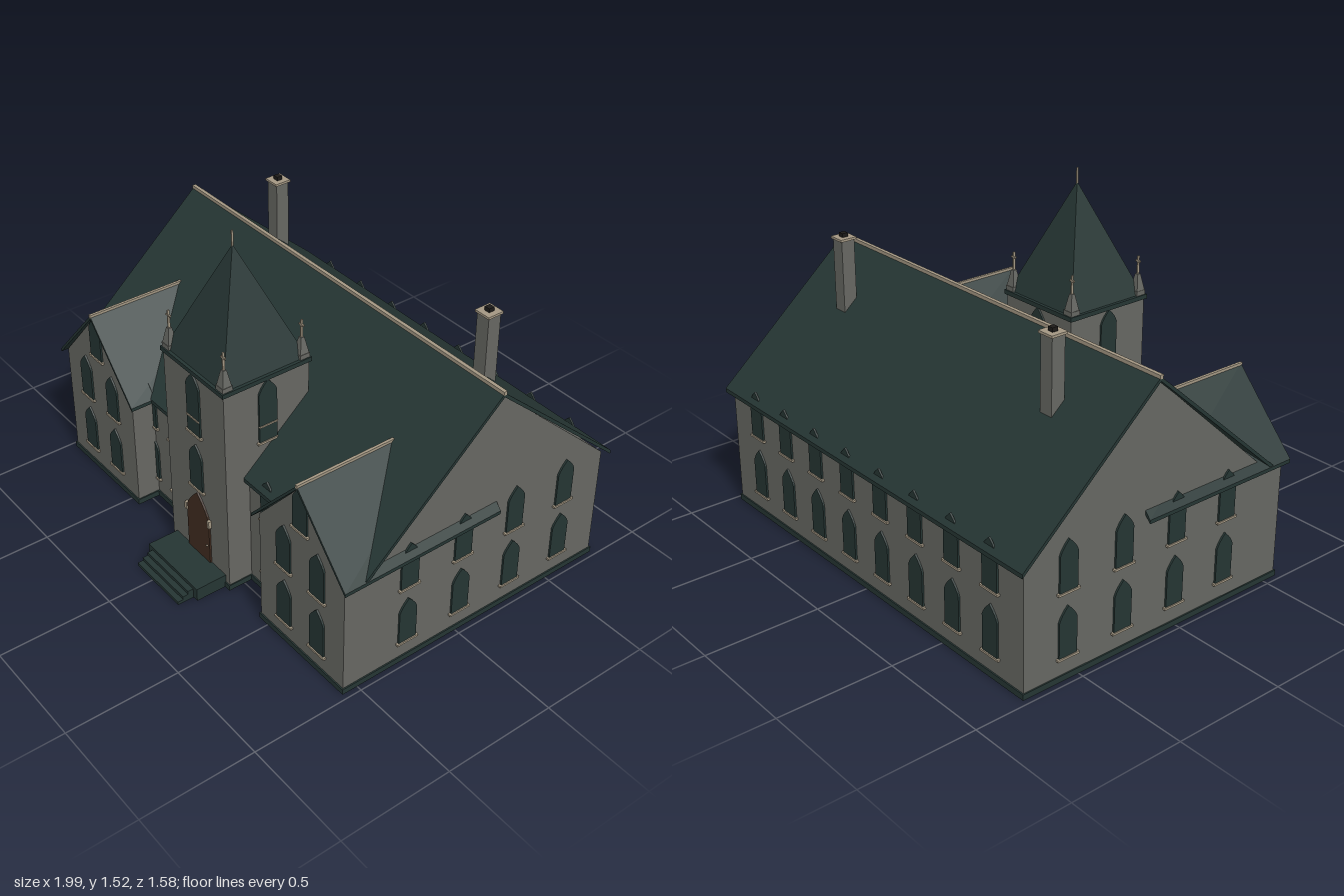
import * as THREE from 'three';

const mat = (name, color) => {
  const m = new THREE.MeshStandardMaterial({ color });
  m.name = name;
  return m;
};

export function createModel() {
  const root = new THREE.Group();
  root.name = 'gothicHall';
  const stone = mat('stone', 0x666762);
  const slate = mat('darkSlate', 0x253533);
  const trim = mat('sandTrim', 0xa39783);
  const wood = mat('doorWood', 0x402c20);
  const black = mat('flueBlack', 0x1c1a18);

  const add = (name, geo, material, x = 0, y = 0, z = 0, parent = root) => {
    const mesh = new THREE.Mesh(geo, material);
    mesh.name = name;
    mesh.position.set(x, y, z);
    parent.add(mesh);
    return mesh;
  };
  // Box given by its extents
  const block = (name, material, x0, x1, y0, y1, z0, z1, parent = root) =>
    add(name, new THREE.BoxGeometry(x1 - x0, y1 - y0, z1 - z0), material,
      (x0 + x1) / 2, (y0 + y1) / 2, (z0 + z1) / 2, parent);
  // Flat-faced square pyramid or frustum, half widths at top and bottom
  const frustum = (top, bottom, h) => {
    const g = new THREE.CylinderGeometry(top * Math.SQRT2, bottom * Math.SQRT2, h, 4)
      .rotateY(Math.PI / 4).toNonIndexed();
    g.computeVertexNormals();
    return g;
  };
  const extrude = (points, depth) => new THREE.ExtrudeGeometry(
    new THREE.Shape(points.map(p => new THREE.Vector2(...p))), { depth, bevelEnabled: false });
  const gableWall = (half, eave, ridge, depth) =>
    extrude([[-half, 0.01], [half, 0.01], [half, eave], [0, ridge], [-half, eave]], depth);
  const gableRoof = (half, eave, ridge, t, depth) => extrude(
    [[-half, eave - t], [0, ridge - t], [half, eave - t], [half, eave], [0, ridge], [-half, eave]], depth);

  // Thin pointed-arch plate standing on its base
  const archPlate = (w, h, peak, depth = 0.008) => {
    const s = new THREE.Shape();
    s.moveTo(-w / 2, 0);
    s.lineTo(w / 2, 0);
    s.lineTo(w / 2, h - peak);
    s.quadraticCurveTo(w * 0.4, h - peak * 0.55, 0, h);
    s.quadraticCurveTo(-w * 0.4, h - peak * 0.55, -w / 2, h - peak);
    return new THREE.ExtrudeGeometry(s, { depth, bevelEnabled: false, curveSegments: 4 });
  };
  const windowAt = (x, y, z, turn = 0, h = 0.215) => {
    const g = new THREE.Group();
    g.name = 'archedWindow';
    g.position.set(x, y, z);
    g.rotation.y = turn;
    add('pane', archPlate(0.086, h, 0.06), slate, 0, 0, 0, g);
    block('sill', trim, -0.052, 0.052, -0.006, 0.003, 0, 0.013, g);
    root.add(g);
    return g;
  };
  const floors = [0.1, 0.375];

  // Main hall, long roof and ridge
  add('hallWalls', gableWall(0.61, 0.53, 1.085, 1.94), stone, -0.97, 0, -0.15).rotation.y = Math.PI / 2;
  add('hallRoof', gableRoof(0.637, 0.54, 1.1, 0.018, 1.99), slate, -0.995, 0, -0.15).rotation.y = Math.PI / 2;
  block('hallRidge', trim, -0.997, 0.997, 1.092, 1.108, -0.158, -0.142);
  block('hallPlinth', slate, -0.976, 0.976, 0, 0.025, -0.766, 0.466);

  // Front wings with cross gables
  for (const s of [-1, 1]) {
    const x = s * 0.71;
    add('wingWalls', gableWall(0.26, 0.54, 0.835, 0.115), stone, x, 0, 0.45);
    add('wingRoof', gableRoof(0.287, 0.535, 0.85, 0.016, 0.765), slate, x, 0, -0.18);
    block('wingRidge', trim, x - 0.006, x + 0.006, 0.84, 0.855, 0.1, 0.587);
    block('wingPlinth', slate, x - 0.266, x + 0.266, 0, 0.025, 0.46, 0.571);
    windowAt(x, 0.63, 0.565, 0, 0.2);
    for (const y of floors) for (const dx of [-0.103, 0.103]) windowAt(x + dx, y, 0.565);
  }

  // Windows of the hall: recessed front, rear and both ends
  for (const y of floors) {
    for (const x of [-0.47, -0.29, 0.365]) windowAt(x, y, 0.46);
    for (let i = 0; i < 8; i++) windowAt(-0.788 + i * 0.2245, y, -0.76, Math.PI);
    for (let i = 0; i < 4; i++) for (const s of [-1, 1])
      windowAt(s * 0.97, y, 0.255 - i * 0.27, s * Math.PI / 2);
  }

  // Tower with spire
  const tx = 0.038, tz = 0.368;
  block('towerWalls', stone, tx - 0.203, tx + 0.203, 0.01, 0.97, tz - 0.203, tz + 0.203);
  block('towerPlinth', slate, tx - 0.208, tx + 0.208, 0, 0.025, tz, tz + 0.209);
  block('towerCornice', slate, tx - 0.212, tx + 0.212, 0.966, 0.985, tz - 0.212, tz + 0.212);
  add('spire', frustum(0.0005, 0.198, 0.48), slate, tx, 1.225, tz);
  block('spireFinial', trim, tx - 0.0025, tx + 0.0025, 1.45, 1.525, tz - 0.004, tz + 0.004);

  // Corner pinnacles with crosses
  for (const sx of [-1, 1]) for (const sz of [-1, 1]) {
    const g = new THREE.Group();
    g.name = 'pinnacle';
    g.position.set(tx + sx * 0.183, 0.985, tz + sz * 0.183);
    add('base', new THREE.BoxGeometry(0.046, 0.02, 0.046), stone, 0, 0.01, 0, g);
    add('taper', frustum(0.008, 0.021, 0.07), stone, 0, 0.055, 0, g);
    block('spike', trim, -0.003, 0.003, 0.08, 0.168, -0.005, 0.005, g);
    block('crossArm', trim, -0.013, 0.013, 0.142, 0.149, -0.004, 0.004, g);
    root.add(g);
  }

  // Tower windows: one over the door, tall belfry openings on every side
  windowAt(tx, 0.405, tz + 0.203, 0, 0.22);
  for (let i = 0; i < 4; i++) {
    const a = i * Math.PI / 2;
    const w = windowAt(tx + Math.sin(a) * 0.203, 0.68, tz + Math.cos(a) * 0.203, a, 0.288);
    block('transom', trim, -0.043, 0.043, 0.074, 0.081, 0, 0.012, w);
  }

  // Door, lanterns and knob
  const front = tz + 0.203;
  add('door', archPlate(0.155, 0.325, 0.11), wood, tx, 0.058, front);
  add('doorKnob', new THREE.SphereGeometry(0.005, 8, 6), trim, tx + 0.062, 0.145, front + 0.01);
  for (const s of [-1, 1]) {
    const x = tx + s * 0.08;
    block('lantern', trim, x - 0.007, x + 0.007, 0.25, 0.285, front, front + 0.014);
  }

  // Landing and steps
  block('landing', slate, tx - 0.177, tx + 0.177, 0, 0.06, front, 0.715);
  for (let i = 0; i < 3; i++)
    block('step', slate, tx - 0.15, tx + 0.15, 0, 0.045 - i * 0.015, 0.7, 0.74 + i * 0.025);

  // Chimneys
  for (const x of [-0.645, 0.682]) {
    const z = -0.353;
    block('chimneyStack', stone, x - 0.032, x + 0.032, 0.8, 1.21, z - 0.031, z + 0.031);
    block('chimneyCap', trim, x - 0.038, x + 0.038, 1.208, 1.218, z - 0.038, z + 0.038);
    block('chimneyFlue', black, x - 0.013, x + 0.013, 1.215, 1.235, z - 0.013, z + 0.013);
  }
  return root;
}
